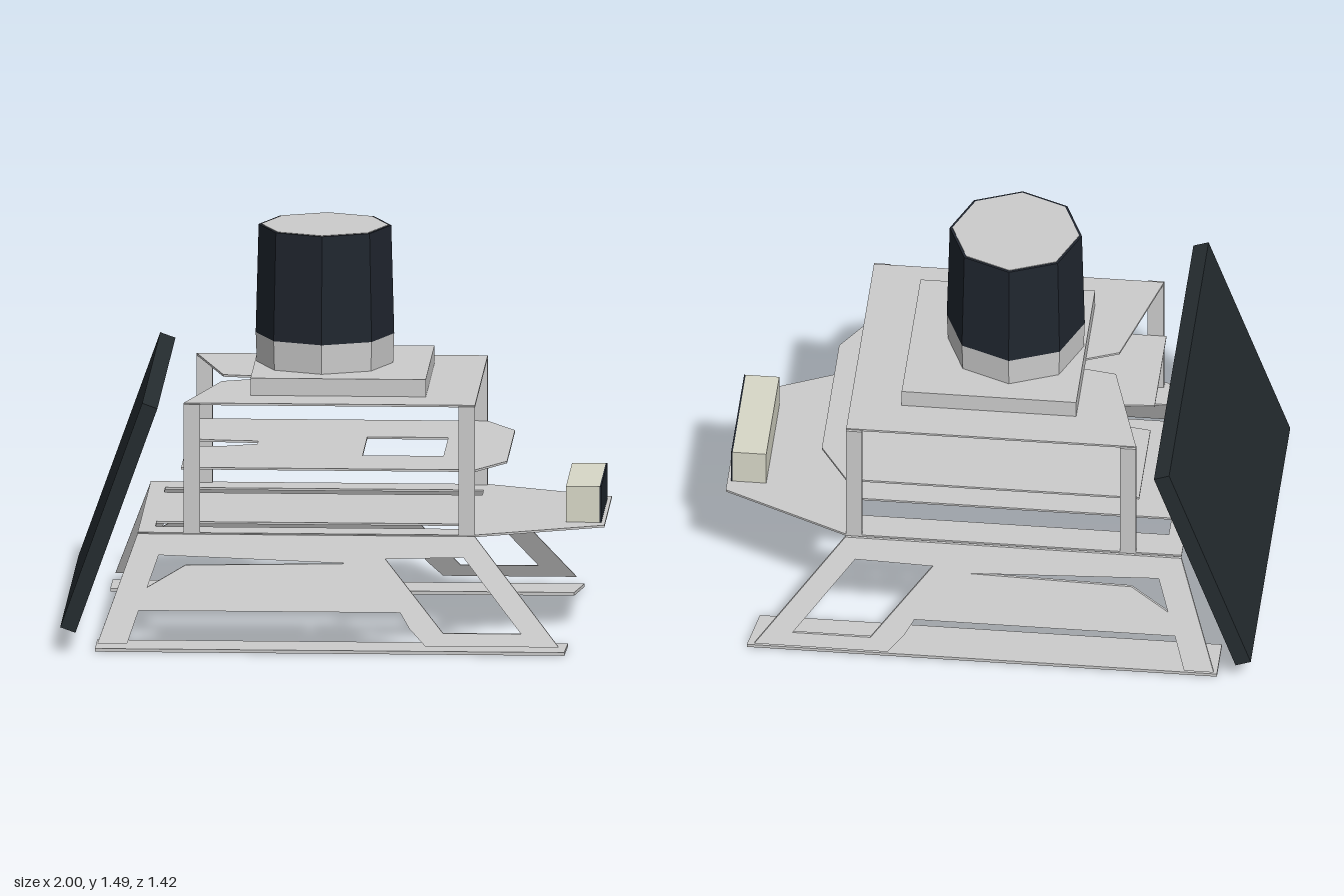
import * as THREE from 'three';

const material = (color) => new THREE.MeshStandardMaterial({ color, flatShading: true, side: THREE.DoubleSide });

function shapeOf(points, holes = []) {
  const toPoints = (list) => list.map(([a, b]) => new THREE.Vector2(a, b));
  const shape = new THREE.Shape(toPoints(points));
  holes.forEach((hole) => shape.holes.push(new THREE.Path(toPoints(hole))));
  return shape;
}

const rect = (x0, x1, z0, z1) => [[x0, z0], [x1, z0], [x1, z1], [x0, z1]];

export function createModel() {
  const model = new THREE.Group();
  model.name = 'rover';
  const grey = material(0xcccccc);
  const beige = material(0xd8d8c8);
  const panelDark = material(0x252c30);
  const drumDark = material(0x20262f);

  const add = (name, geometry, mat, x = 0, y = 0, z = 0) => {
    const mesh = new THREE.Mesh(geometry, mat);
    mesh.name = name;
    mesh.position.set(x, y, z);
    model.add(mesh);
    return mesh;
  };
  const box = (name, [x0, x1], [y0, y1], [z0, z1], mat) =>
    add(name, new THREE.BoxGeometry(x1 - x0, y1 - y0, z1 - z0), mat,
      (x0 + x1) / 2, (y0 + y1) / 2, (z0 + z1) / 2);

  // Horizontal sheet drawn in x and z, with its upper face at the given height
  const plate = (name, top, points, holes = [], thickness = 0.008) => {
    const geometry = new THREE.ExtrudeGeometry(shapeOf(points, holes), { depth: thickness, bevelEnabled: false });
    geometry.rotateX(Math.PI / 2);
    return add(name, geometry, grey, 0, top, 0);
  };

  // Lower deck with a long slot near each side
  plate('lowerDeck', 0.418,
    [[-0.72, -0.51], [0.53, -0.51], [1, -0.29], [1, 0.29], [0.53, 0.51], [-0.72, 0.51]],
    [rect(-0.66, 0.52, 0.29, 0.39), rect(-0.66, 0.52, -0.39, -0.29)]);

  // Middle deck with a rear notch and a cable opening
  plate('middleDeck', 0.66,
    [[-0.56, -0.49], [0.53, -0.49], [0.64, -0.31], [0.64, 0.31], [0.53, 0.49], [-0.56, 0.49],
      [-0.56, 0.07], [-0.43, 0.06], [-0.3, 0.01], [-0.3, -0.05], [-0.43, -0.06], [-0.56, -0.08]],
    [rect(0.1, 0.4, -0.15, 0.22)]);

  // Upper deck with a tapering rear cutout
  plate('upperDeck', 0.905,
    [[-0.55, -0.5], [0.53, -0.5], [0.53, 0.5], [-0.55, 0.5],
      [-0.43, 0.06], [-0.31, 0.01], [-0.31, -0.05], [-0.43, -0.07]]);

  for (const side of [1, -1]) {
    // Corner posts
    for (const x of [-0.52, 0.5]) {
      add('cornerPost', new THREE.BoxGeometry(0.06, 0.485, 0.02), grey, x, 0.658, side * 0.5);
    }

    // Leaning side frame with a tapered slot and a slanted window
    const frame = new THREE.ExtrudeGeometry(shapeOf(
      [[-0.72, 0.415], [-0.86, 0.035], [-0.75, 0.035], [-0.71, 0.15], [0.26, 0.15],
        [0.295, 0.095], [0.355, 0.035], [0.85, 0.035], [0.53, 0.415]],
      [[[-0.64, 0.342], [0.08, 0.318], [-0.54, 0.308], [-0.68, 0.23]],
        [[0.2, 0.335], [0.49, 0.342], [0.71, 0.08], [0.42, 0.08]]]),
    { depth: 0.01, bevelEnabled: false });
    const pos = frame.attributes.position;
    for (let i = 0; i < pos.count; i++) {
      pos.setZ(i, pos.getZ(i) + 0.515 + (0.415 - pos.getY(i)) * 0.49);
    }
    frame.computeVertexNormals();
    add('sideFrame', frame, grey).scale.z = side;

    // Ground skid
    const outer = side > 0 ? 0.87 : 0.88;
    const inner = side > 0 ? 0.875 : 0.85;
    plate('skid', 0.012,
      [[-0.87, side * 0.51], [inner, side * 0.51], [outer, side * 0.69], [-0.87, side * 0.69]], [], 0.012);
  }

  // Turret base and eight-sided drum
  box('turretBase', [-0.31, 0.34], [0.905, 0.97], [-0.34, 0.34], grey);
  const drum = (name, top, bottom, y0, y1, mat) =>
    add(name, new THREE.CylinderGeometry(top, bottom, y1 - y0, 8), mat, -0.05, (y0 + y1) / 2, 0);
  drum('drumCollar', 0.257, 0.253, 0.97, 1.08, grey);
  drum('drum', 0.246, 0.257, 1.08, 1.487, drumDark);
  drum('drumLid', 0.236, 0.236, 1.48, 1.489, grey);

  // Sensor box with a dark face
  box('sensorBox', [0.855, 0.98], [0.418, 0.553], [-0.235, 0.235], beige);
  box('sensorFace', [0.98, 0.986], [0.418, 0.553], [-0.235, 0.235], drumDark);

  // Leaning rear panel
  const rearPanel = add('rearPanel', new THREE.BoxGeometry(0.06, 0.9, 1.42), panelDark, -0.818, 0.508, 0);
  rearPanel.rotation.z = -Math.atan2(0.305, 0.85);

  return model;
}
